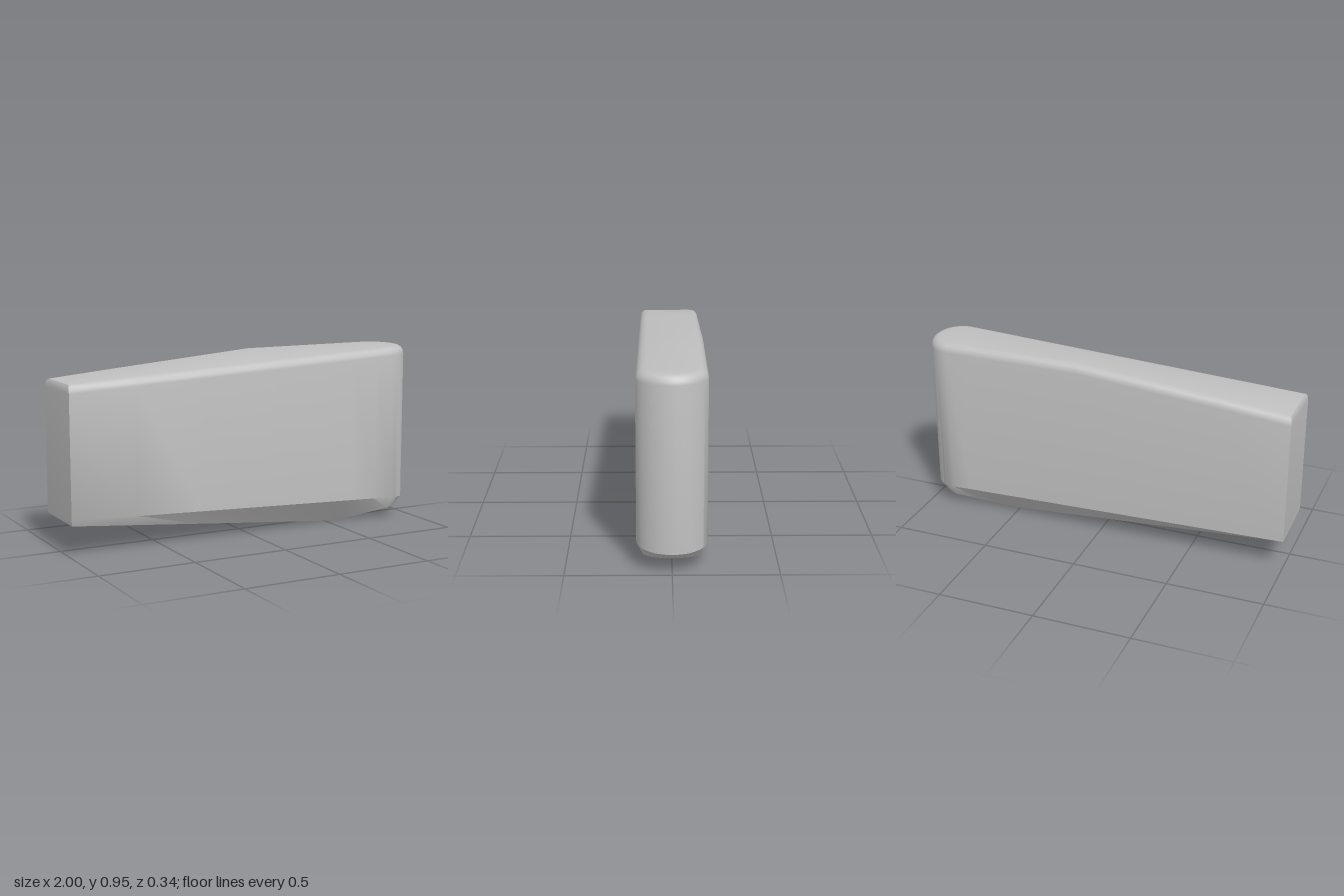
import * as THREE from 'three';
import { toCreasedNormals } from 'three/addons/utils/BufferGeometryUtils.js';

// Piecewise linear lookup in a list of [x, value] pairs
function along(x, pairs) {
  for (let i = 1; i < pairs.length; i++) {
    const [x0, v0] = pairs[i - 1], [x1, v1] = pairs[i];
    if (x <= x1) return v0 + (v1 - v0) * (x - x0) / (x1 - x0);
  }
  return pairs[pairs.length - 1][1];
}

const HALF = 0.168;        // half thickness
const NOSE_X = 0.85;       // where the round nose starts
const backTop = [[-1, 0.85], [0.12, 0.945], [1, 0.947]];
const frontTop = [[-1, 0.85], [0.9, 0.942], [1, 0.945]];
const backSill = [[-1, 0.165], [0.85, 0.112], [1, 0.1]];
const frontSill = [[-1, 0.19], [0.85, 0.115], [1, 0.1]];
const keel = [[-1, 0.16], [0.47, 0.004], [0.6, 0], [0.85, 0.05], [1, 0.072]];
const keelInset = [[-1, 0.012], [0.5, 0.098], [0.6, 0.098], [0.85, 0.03], [1, 0.03]];

// Plan outline: back side, round nose, front side
function makeOutline() {
  const xs = [-1, -0.65, -0.3, 0.12, 0.47, 0.6, 0.75];
  const side = (s) => xs.map((x) => ({ x, z: s * HALF, nx: x === -1 ? -0.4 : 0, nz: s }));
  const nose = [];
  const steps = 24;
  for (let i = 0; i <= steps; i++) {
    const a = -Math.PI / 2 + Math.PI * i / steps;
    nose.push({ x: NOSE_X + (1 - NOSE_X) * Math.cos(a), z: HALF * Math.sin(a), nx: Math.cos(a), nz: Math.sin(a) });
  }
  return [...side(-1), ...nose, ...side(1).reverse()];
}

function bodyGeometry() {
  const outline = makeOutline();
  const n = outline.length;
  const mix = (p, back, front) => THREE.MathUtils.lerp(along(p.x, back), along(p.x, front), (p.z / HALF + 1) / 2);
  const inset = (p, d, y) => [p.x - p.nx * d, y, p.z - p.nz * d];
  const layers = [];

  // Rounded upper rim, from the top down
  const radius = 0.045;
  for (let k = 0; k <= 4; k++) {
    const a = (k / 4) * Math.PI / 2;
    layers.push(outline.map((p) =>
      inset(p, radius * (1 - Math.sin(a)), mix(p, backTop, frontTop) - radius * (1 - Math.cos(a)))));
  }
  // Lower edge of the walls, then the tapered keel
  layers.push(outline.map((p) => inset(p, 0, mix(p, backSill, frontSill))));
  layers.push(outline.map((p) => inset(p, along(p.x, keelInset), along(p.x, keel))));

  const positions = layers.flat(2);
  const index = [];
  const last = layers.length - 1;
  const id = (k, i) => k * n + (i % n);
  for (let k = 0; k < last; k++) {
    for (let i = 0; i < n; i++) {
      index.push(id(k, i), id(k, i + 1), id(k + 1, i));
      index.push(id(k, i + 1), id(k + 1, i + 1), id(k + 1, i));
    }
  }
  // Top and bottom strips between the back and front halves
  const half = (n - 1) / 2;
  for (let i = 0; i < half; i++) {
    const f = n - 1 - i;
    const strip = (k, a, b, c) => index.push(id(k, a), id(k, b), id(k, c));
    strip(0, i, f, i + 1);
    strip(last, i, i + 1, f);
    if (i + 1 < half) {
      strip(0, f, f - 1, i + 1);
      strip(last, f, i + 1, f - 1);
    }
  }

  const geometry = new THREE.BufferGeometry();
  geometry.setAttribute('position', new THREE.Float32BufferAttribute(positions, 3));
  geometry.setIndex(index);
  return toCreasedNormals(geometry, 0.55);
}

export function createModel() {
  const group = new THREE.Group();
  group.name = 'taperedBlock';
  const grey = new THREE.MeshStandardMaterial({ color: 0xbfbfbf });
  grey.name = 'plain grey';
  const body = new THREE.Mesh(bodyGeometry(), grey);
  body.name = 'body';
  group.add(body);
  return group;
}
